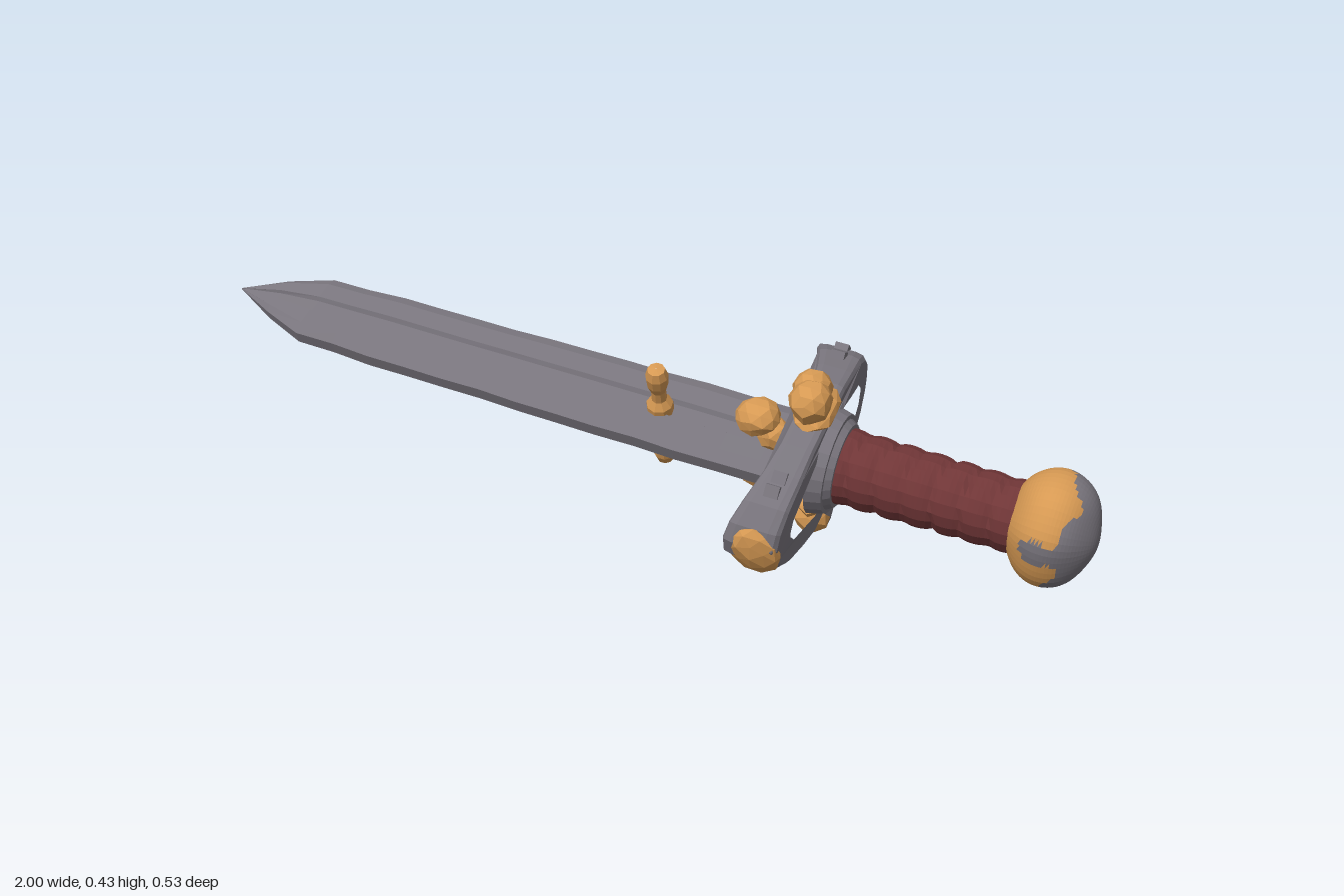
import * as THREE from 'three';

const mat = (name, color) => {
  const m = new THREE.MeshStandardMaterial({ color, flatShading: true });
  m.name = name;
  return m;
};

// small seeded noise in -1..1
let seed = 7;
const rnd = () => {
  seed = (seed * 16807) % 2147483647;
  return (seed / 2147483647) * 2 - 1;
};

// moves each vertex by a rule
function warp(geo, rule) {
  const p = geo.attributes.position;
  const v = new THREE.Vector3();
  for (let i = 0; i < p.count; i++) {
    v.fromBufferAttribute(p, i);
    rule(v);
    p.setXYZ(i, v.x, v.y, v.z);
  }
  geo.computeVertexNormals();
  return geo;
}

// sorts triangles into two material groups by their centre
function paint(geo, rule) {
  const src = (geo.index ? geo.toNonIndexed() : geo).attributes.position.array;
  const sets = [[], []];
  for (let i = 0; i < src.length; i += 9) {
    const c = new THREE.Vector3(src[i] + src[i + 3] + src[i + 6], src[i + 1] + src[i + 4] + src[i + 7],
      src[i + 2] + src[i + 5] + src[i + 8]).divideScalar(3);
    sets[rule(c) ? 1 : 0].push(...src.slice(i, i + 9));
  }
  const out = new THREE.BufferGeometry();
  out.setAttribute('position', new THREE.Float32BufferAttribute([...sets[0], ...sets[1]], 3));
  out.addGroup(0, sets[0].length / 3, 0);
  out.addGroup(sets[0].length / 3, sets[1].length / 3, 1);
  out.computeVertexNormals();
  return out;
}

// blade lofted along -x: z is the width, y the thickness
function bladeGeometry() {
  const stations = [[0, 0.1, 1]];
  for (let i = 1; i < 13; i++) stations.push([-i * 0.093, 0.1 - i * 0.0009 + rnd() * 0.003, 1 + rnd() * 0.04]);
  stations.push([-1.21, 0.087, 0.95], [-1.31, 0.05, 0.75], [-1.412, 0.001, 0.06]);
  const pos = [], idx = [];
  for (const [u, h, k] of stations) {
    const t = 0.027 * k, e = 0.015 * k;
    const half = [[1, e], [0.72, t], [0.24, t], [0.17, t * 0.65], [-0.17, t * 0.65], [-0.24, t], [-0.72, t], [-1, e]];
    for (const s of [1, -1]) for (const [w, n] of half) pos.push(u, s * n, s * w * h);
  }
  const N = 16, last = (stations.length - 1) * N;
  for (let a = 0; a < last; a += N) {
    for (let i = 0; i < N; i++) {
      const j = (i + 1) % N;
      idx.push(a + i, a + j, a + N + i, a + j, a + N + j, a + N + i);
    }
  }
  for (let i = 1; i < N - 1; i++) idx.push(0, i + 1, i, last, last + i, last + i + 1);
  const g = new THREE.BufferGeometry();
  g.setAttribute('position', new THREE.Float32BufferAttribute(pos, 3));
  g.setIndex(idx);
  g.computeVertexNormals();
  return g;
}

// closed outline mirrored from one quadrant of [width, height] points
function outline(quad, Type) {
  const right = [...quad, ...[...quad].reverse().map(([w, n]) => [w, -n])];
  const left = [...right].reverse().map(([w, n]) => [-w, n]);
  return new Type([...right, ...left].map(([w, n]) => new THREE.Vector2(w, n)));
}

export function createModel() {
  const steel = mat('steel', 0x79757d);
  const gold = mat('gold', 0xd69953);
  const leather = mat('leather', 0x703637);

  // frame: x runs along the weapon toward the pommel, y is the blade's face normal
  const root = new THREE.Group();
  root.name = 'dagger';
  const weapon = new THREE.Group();
  weapon.name = 'weapon';
  const X = new THREE.Vector3(1.9, -0.215, -0.085).normalize();
  const roll = 0.436;
  const W = new THREE.Vector3().crossVectors(X, new THREE.Vector3(0, Math.cos(roll), Math.sin(roll))).normalize();
  const Y = new THREE.Vector3().crossVectors(W, X);
  weapon.quaternion.setFromRotationMatrix(new THREE.Matrix4().makeBasis(X, Y, W));
  weapon.position.set(0.4, 0.205, -0.007);
  root.add(weapon);

  const add = (name, geo, material, x = 0, y = 0, z = 0) => {
    const m = new THREE.Mesh(geo, material);
    m.name = name;
    m.position.set(x, y, z);
    weapon.add(m);
    return m;
  };
  const lumpGeometry = (phase) => warp(new THREE.IcosahedronGeometry(1, 1), (v) => {
    v.multiplyScalar(1 + 0.08 * Math.sin(v.x * 5 + v.y * 4 + phase) * Math.cos(v.z * 4));
  });
  const lump = (name, material, at, size, geo = lumpGeometry(at[0] * 40)) => {
    add(name, geo, material, ...at).scale.set(...size);
  };

  add('blade', bladeGeometry(), steel);

  // looped guard, swept toward the blade at its ends
  const shape = outline([[0.09, 0.138], [0.15, 0.116], [0.215, 0.088], [0.255, 0.056], [0.275, 0.02]], THREE.Shape);
  shape.holes.push(outline([[0.085, 0.092], [0.14, 0.066], [0.198, 0.04], [0.216, 0.008]], THREE.Path));
  const loop = new THREE.ExtrudeGeometry(shape, {
    depth: 0.04, bevelEnabled: true, bevelThickness: 0.014, bevelSize: 0.012, bevelOffset: -0.01, bevelSegments: 2,
  });
  loop.translate(0, 0, -0.02).rotateY(Math.PI / 2);
  warp(loop, (v) => { v.x = v.x * (1 + 10 * v.z * v.z) - 0.55 * v.z * v.z + 0.002; });
  add('guardLoop', loop, steel);

  // collar plate and hub holding the blade
  const disc = (name, r1, r2, len, x) => {
    add(name, new THREE.CylinderGeometry(r1, r2, len, 24).rotateZ(-Math.PI / 2), steel, x);
  };
  disc('collar', 0.108, 0.117, 0.035, 0.037);
  disc('collarLip', 0.09, 0.1, 0.016, 0.06);
  disc('guardHub', 0.1, 0.062, 0.07, -0.012);

  // low studs around the guard
  for (const [y, z] of [[0.098, -0.2], [0.06, -0.25], [-0.105, -0.165], [0.1, 0.184], [0.11, 0.155],
    [-0.103, 0.185], [-0.062, -0.25]]) {
    const s = add('guardStud', new THREE.BoxGeometry(0.03, 0.022, 0.026), steel, -0.5 * z * z, y, z);
    s.rotation.x = Math.atan2(z, y * 2);
  }

  // ornaments on both faces; the guard knob underneath is only partly gilded
  for (const s of [1, -1]) {
    const knob = s > 0 ? [gold, gold] : [steel, gold];
    const gilt = (c) => c.z > 0.25;
    const knobPart = (name, at, size) => lump(name, knob, at, size, paint(lumpGeometry(at[0] * 40), gilt));
    knobPart('guardKnob', [-0.004, s * 0.184, 0.006], [0.045, 0.046, 0.046]);
    knobPart('guardKnobLobe', [-0.016, s * 0.168, -0.038], [0.042, 0.046, 0.044]);
    knobPart('guardKnobBase', [0, s * 0.138, -0.016], [0.046, 0.03, 0.066]);
    lump('bladeRootKnob', gold, [-0.122, s * 0.085, 0.003], [0.048, 0.038, 0.044]);
    lump('bladeRootKnobTail', gold, [-0.083, s * 0.045, 0.006], [0.038, 0.038, 0.034]);
    lump('bladeRootKnobTip', gold, [-0.154, s * 0.055, -0.014], [0.024, 0.032, 0.03]);
  }
  lump('guardEndPlate', gold, [-0.03, -0.006, 0.26], [0.06, 0.066, 0.027]);

  // gilded pins standing on each face of the blade
  const pin = [[0.001, 0.15], [0.019, 0.146], [0.025, 0.126], [0.023, 0.1], [0.016, 0.08], [0.017, 0.055],
    [0.029, 0.038], [0.03, 0.012]].reverse().map(([r, h]) => new THREE.Vector2(r, h));
  for (const s of [1, -1]) {
    const p = add('bladePin', new THREE.LatheGeometry(pin, 9), gold, -0.347, 0, 0.006);
    if (s < 0) p.rotation.x = Math.PI;
  }

  // leather grip with slanted wraps
  const grip = new THREE.CylinderGeometry(0.08, 0.08, 0.4, 18, 36).rotateZ(-Math.PI / 2);
  warp(grip, (v) => {
    const a = Math.atan2(v.z, v.y);
    const wrap = (((v.x + 0.2 + 0.012 * Math.sin(a + 0.6) + 0.005 * Math.sin(3 * a)) / 0.06) % 1 + 1) % 1;
    const k = (0.95 + 0.1 * Math.sqrt(Math.sin(Math.PI * wrap)) - 0.05 * wrap) * (1 - 0.15 * (v.x + 0.2));
    v.y *= k;
    v.z *= k;
  });
  add('grip', grip, leather, 0.245);

  // pommel, gilded on the grip side with worn edges and a bare spot
  const ball = new THREE.SphereGeometry(1, 48, 40).rotateZ(-Math.PI / 2);
  warp(ball, (v) => {
    v.multiplyScalar(1 + 0.02 * Math.sin(v.y * 6 + 1) * Math.sin(v.z * 5));
    v.set(v.x * 0.094, v.y * 0.127, v.z * 0.119);
  });
  const bareSpot = new THREE.Vector3(-0.012, 0.04, 0.112);
  const gilded = (c) => {
    const a = Math.atan2(c.z, c.y);
    const edge = 0.008 + 0.029 * Math.cos(a - 0.4) + 0.013 * Math.sin(4 * a + 0.8) + 0.007 * Math.sin(9 * a);
    return c.x < edge && c.distanceTo(bareSpot) > 0.032 + 0.006 * Math.sin(7 * a);
  };
  add('pommel', paint(ball, gilded), [steel, gold], 0.51, 0.003, 0.002);
  return root;
}
